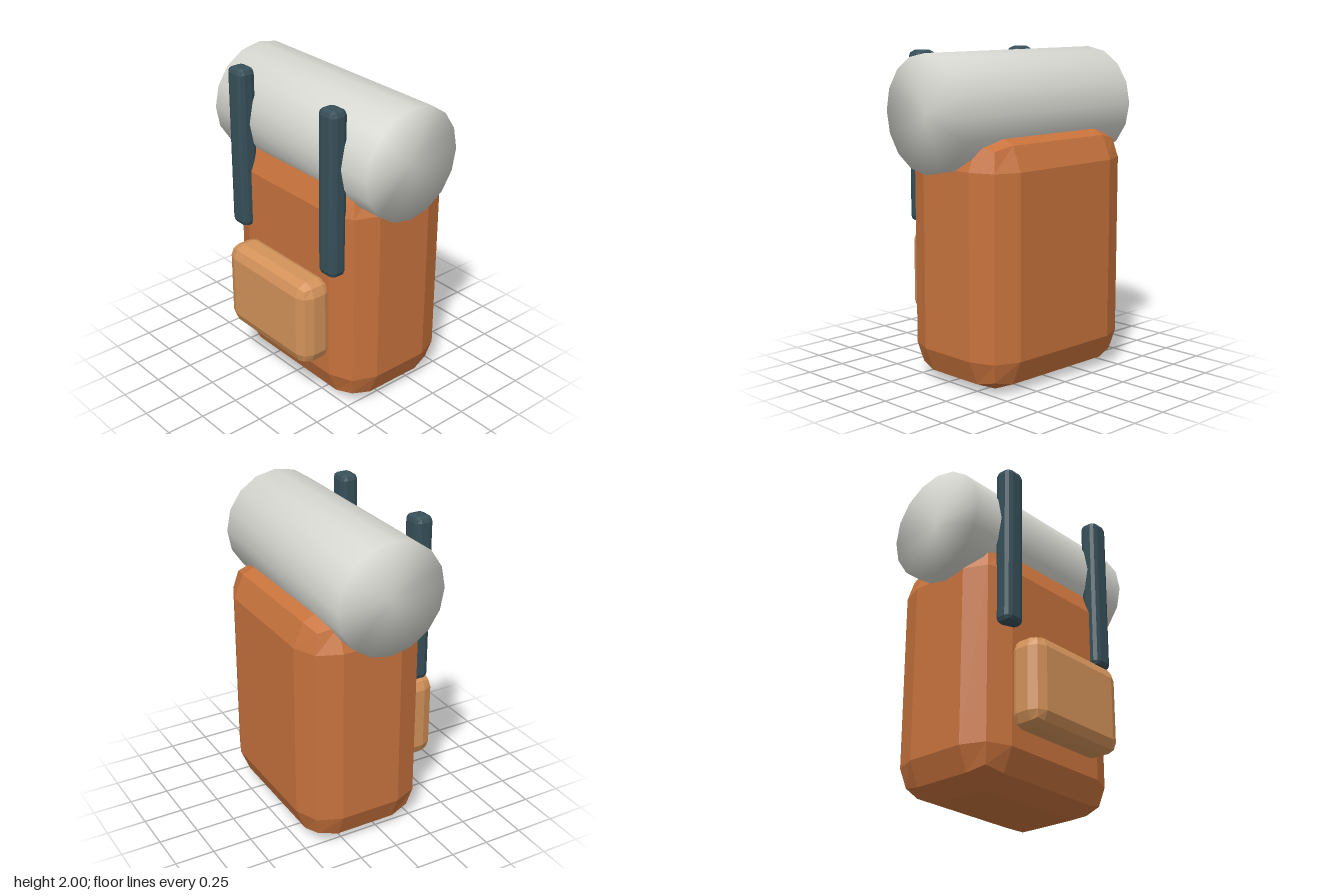
import * as THREE from 'three';
import { mergeVertices } from 'three/addons/utils/BufferGeometryUtils.js';
import { RoundedBoxGeometry } from 'three/addons/geometries/RoundedBoxGeometry.js';

function material(name, color) {
  const m = new THREE.MeshStandardMaterial({ color });
  m.name = name;
  return m;
}

// Faceted bevelled box given by its minimum and maximum corners
function bevelBox(name, min, max, radius, mat) {
  const size = max.map((v, i) => v - min[i]);
  const geometry = new RoundedBoxGeometry(...size, 1, radius);
  geometry.computeVertexNormals(); // non-indexed, so this gives flat facets
  const mesh = new THREE.Mesh(geometry, mat);
  mesh.position.set(...min.map((v, i) => (v + max[i]) / 2));
  mesh.name = name;
  return mesh;
}

export function createModel() {
  const canvas = material('orange canvas', 0xc8733d);
  const tan = material('tan canvas', 0xd4935a);
  const slate = material('slate webbing', 0x37505a);
  const grey = material('light grey fabric', 0xd8d8d2);

  const group = new THREE.Group();
  group.name = 'backpack';

  // Main bag and side pocket
  group.add(bevelBox('bag', [-0.31, 0, -0.6], [0.5, 1.54, 0.6], 0.21, canvas));
  group.add(bevelBox('pocket', [-0.5, 0.32, -0.385], [-0.255, 0.88, 0.385], 0.08, tan));

  // Pair of upright straps
  for (const [name, z] of [['strapFront', 0.42], ['strapBack', -0.42]]) {
    group.add(bevelBox(name, [-0.37, 0.95, z - 0.07], [-0.25, 2, z + 0.07], 0.035, slate));
  }

  // Bedroll: normals run smoothly over the end rims
  let roll = new THREE.CylinderGeometry(0.35, 0.35, 1.4, 16);
  roll.deleteAttribute('normal');
  roll.deleteAttribute('uv');
  roll = mergeVertices(roll);
  roll.computeVertexNormals();
  roll.rotateX(Math.PI / 2);
  const bedroll = new THREE.Mesh(roll, grey);
  bedroll.position.set(0.04, 1.65, 0);
  bedroll.name = 'bedroll';
  group.add(bedroll);

  return group;
}
